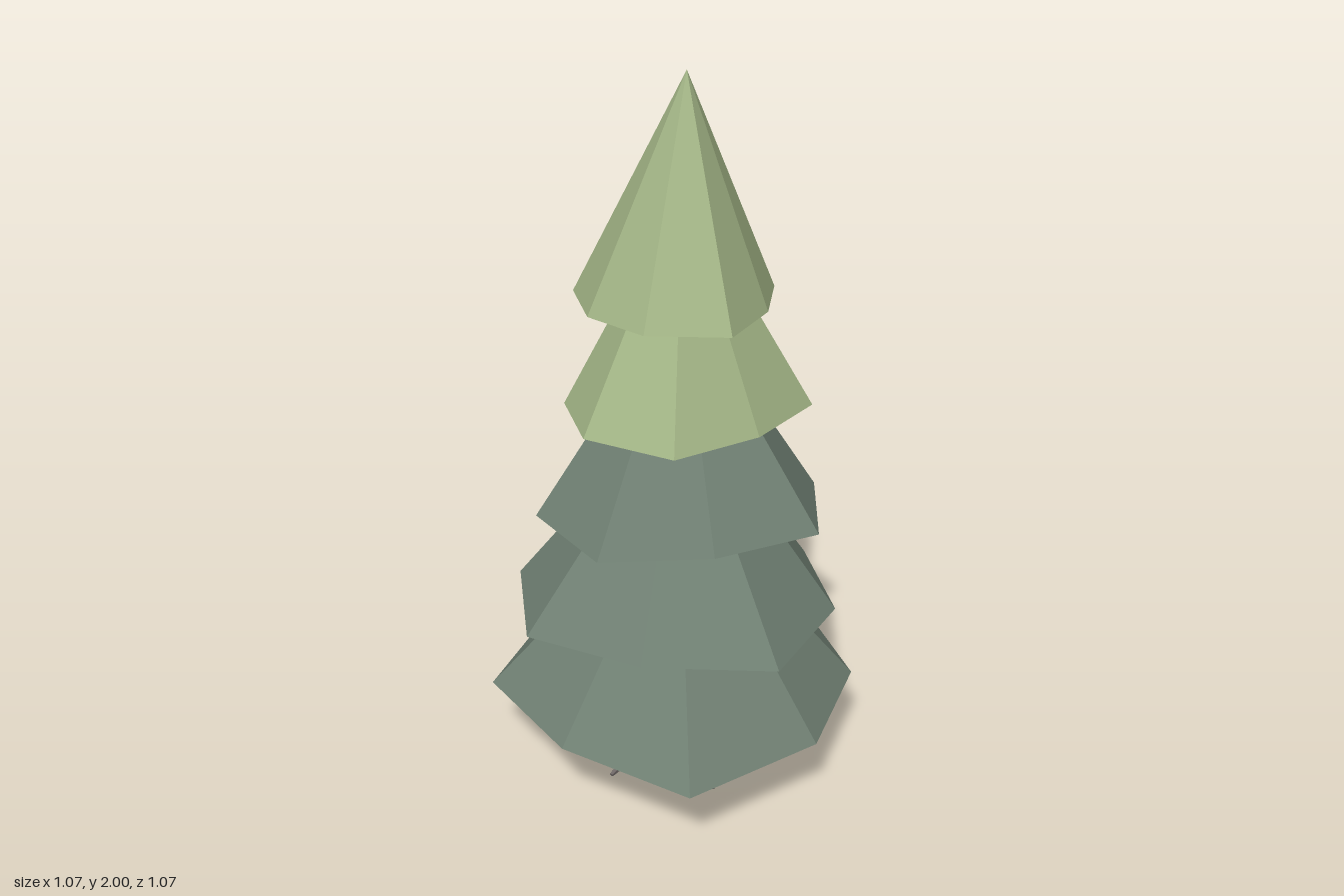
import * as THREE from 'three';

const mat = (name, color) => {
  const m = new THREE.MeshStandardMaterial({ color, flatShading: true });
  m.name = name;
  return m;
};

// Closed cone over an irregular [x, z] rim
function tierGeometry(rim, y, apex) {
  const p = [];
  const low = ([x, z]) => [x, y, z];
  rim.forEach((a, i) => {
    const b = rim[(i + 1) % rim.length];
    p.push(...low(b), ...low(a), ...apex);
    if (i > 0 && i < rim.length - 1) p.push(...low(rim[0]), ...low(a), ...low(b));
  });
  const g = new THREE.BufferGeometry();
  g.setAttribute('position', new THREE.Float32BufferAttribute(p, 3));
  g.computeVertexNormals();
  return g;
}

export function createModel() {
  const tree = new THREE.Group();
  tree.name = 'pineTree';
  const lightGreen = mat('lightGreen', 0xa3b586);
  const darkGreen = mat('darkGreen', 0x6f7f72);
  const bark = mat('bark', 0x6b6463);

  // Foliage tiers, bottom to top
  const tiers = [
    { y: 0.21, top: [-0.05, 0.02], m: darkGreen, rim: [[-0.05, -0.535], [0.295, -0.32], [0.53, 0.02],
      [0.31, 0.385], [-0.05, 0.53], [-0.465, 0.43], [-0.535, 0.02], [-0.44, -0.37]] },
    { y: 0.505, top: [-0.045, 0.025], m: darkGreen, rim: [[-0.28, -0.405], [0.07, -0.39], [0.4, -0.22],
      [0.38, 0.14], [0.165, 0.42], [-0.195, 0.505], [-0.425, 0.22], [-0.52, -0.12]] },
    { y: 0.8, top: [-0.045, 0.025], m: darkGreen, rim: [[-0.125, -0.345], [0.195, -0.355], [0.32, -0.055],
      [0.285, 0.24], [0.04, 0.445], [-0.25, 0.325], [-0.47, 0.11], [-0.39, -0.205]] },
    { y: 1.09, top: [-0.04, 0.025], m: lightGreen, rim: [[-0.02, -0.355], [0.19, -0.185], [0.29, 0.045],
      [0.19, 0.295], [-0.075, 0.325], [-0.33, 0.255], [-0.39, -0.01], [-0.255, -0.22]] },
    { y: 1.385, top: [-0.03, 0.03], m: lightGreen, rim: [[-0.17, -0.26], [0.045, -0.215], [0.21, -0.095],
      [0.225, 0.125], [0.05, 0.245], [-0.16, 0.3], [-0.3, 0.125], [-0.295, -0.08]] },
  ];
  tiers.forEach(({ y, top, m, rim }, i) => {
    const mesh = new THREE.Mesh(tierGeometry(rim, y, [top[0], y + 0.615, top[1]]), m);
    mesh.name = `foliageTier${i + 1}`;
    tree.add(mesh);
  });

  // Trunk
  const base = new THREE.Group();
  base.name = 'trunkAndRoots';
  base.position.set(-0.05, 0, 0.025);
  const trunk = new THREE.Mesh(new THREE.CylinderGeometry(0.08, 0.09, 0.3, 8), bark);
  trunk.name = 'trunk';
  trunk.position.y = 0.15;
  base.add(trunk);

  // Six tapering roots around the trunk
  const from = new THREE.Vector3(0.05, 0.108, 0);
  const to = new THREE.Vector3(0.3, 0.023, 0);
  const dir = to.clone().sub(from);
  const rootGeo = new THREE.CylinderGeometry(0.006, 0.045, dir.length(), 5);
  rootGeo.applyQuaternion(new THREE.Quaternion().setFromUnitVectors(
    new THREE.Vector3(0, 1, 0), dir.clone().normalize()));
  rootGeo.translate(...from.clone().add(to).multiplyScalar(0.5).toArray());
  for (let i = 0; i < 6; i++) {
    const root = new THREE.Mesh(rootGeo, bark);
    root.name = `root${i + 1}`;
    root.rotation.y = (i * Math.PI) / 3;
    base.add(root);
  }
  tree.add(base);
  return tree;
}
